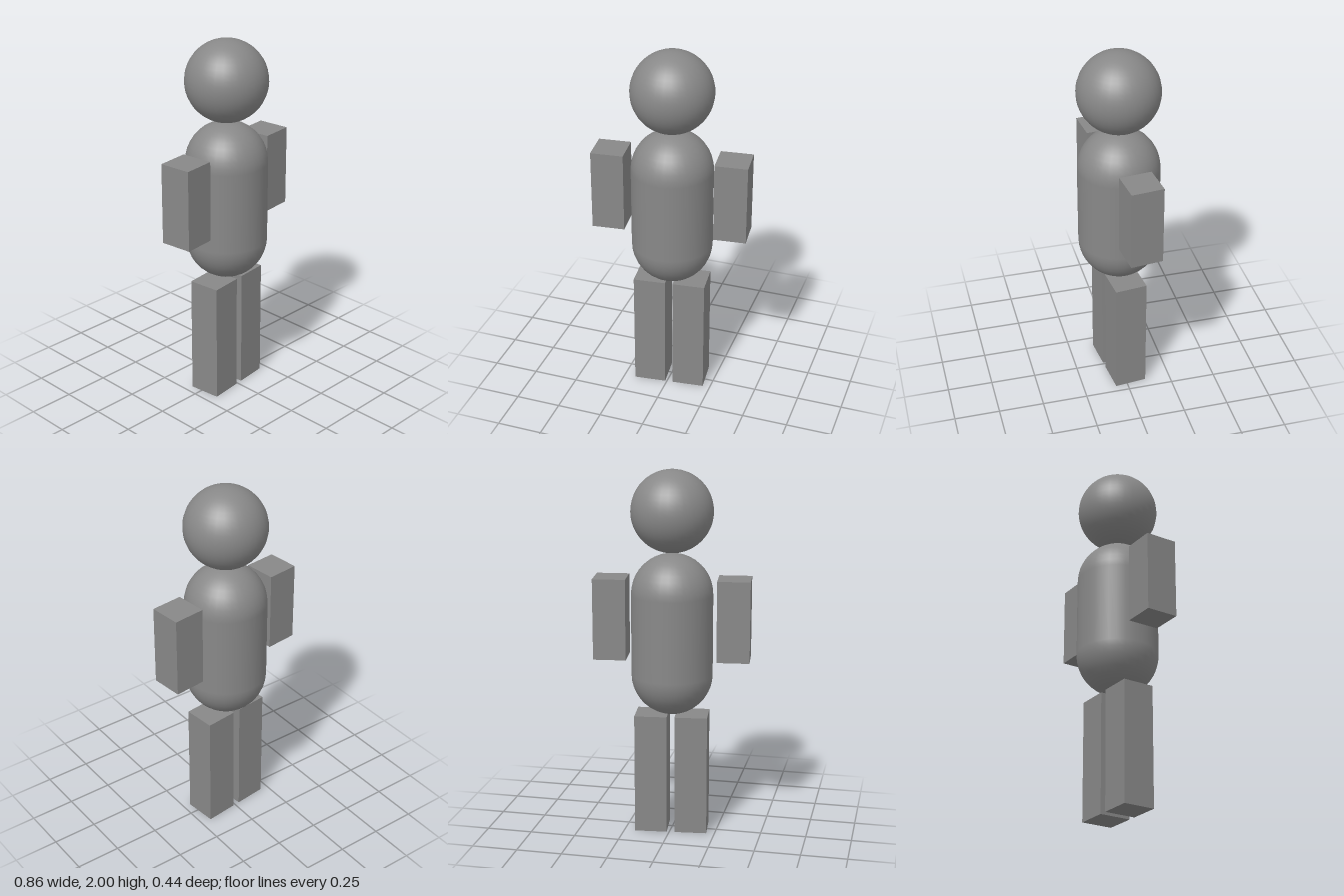
import * as THREE from 'three';

export function createModel() {
  const figure = new THREE.Group();
  figure.name = 'figure';
  const material = new THREE.MeshStandardMaterial({ color: 0x888888 });
  const R = 0.221; // shared radius of head and torso
  const W = 0.177; // limb thickness
  const MID = 0.002; // centre line of head, torso and legs

  const add = (name, geometry, x, y) => {
    const mesh = new THREE.Mesh(geometry, material);
    mesh.name = name;
    mesh.position.set(x, y, 0);
    figure.add(mesh);
  };

  // Round head floating just above a capsule torso
  add('head', new THREE.SphereGeometry(R, 32, 24), MID, 2 - R);
  add('torso', new THREE.CapsuleGeometry(R, 0.442, 10, 32), MID, 1.112);

  // Mirrored box limbs
  for (const [side, s] of [['left', 1], ['right', -1]]) {
    add(side + 'Arm', new THREE.BoxGeometry(W, 0.442, W), s * 0.333, 1.202);
    add(side + 'Leg', new THREE.BoxGeometry(W, 0.667, W), MID + s * 0.11, 0.3335);
  }

  // The whole figure is turned slightly
  figure.rotation.y = 0.107;
  const model = new THREE.Group();
  model.name = 'model';
  model.add(figure);
  return model;
}
